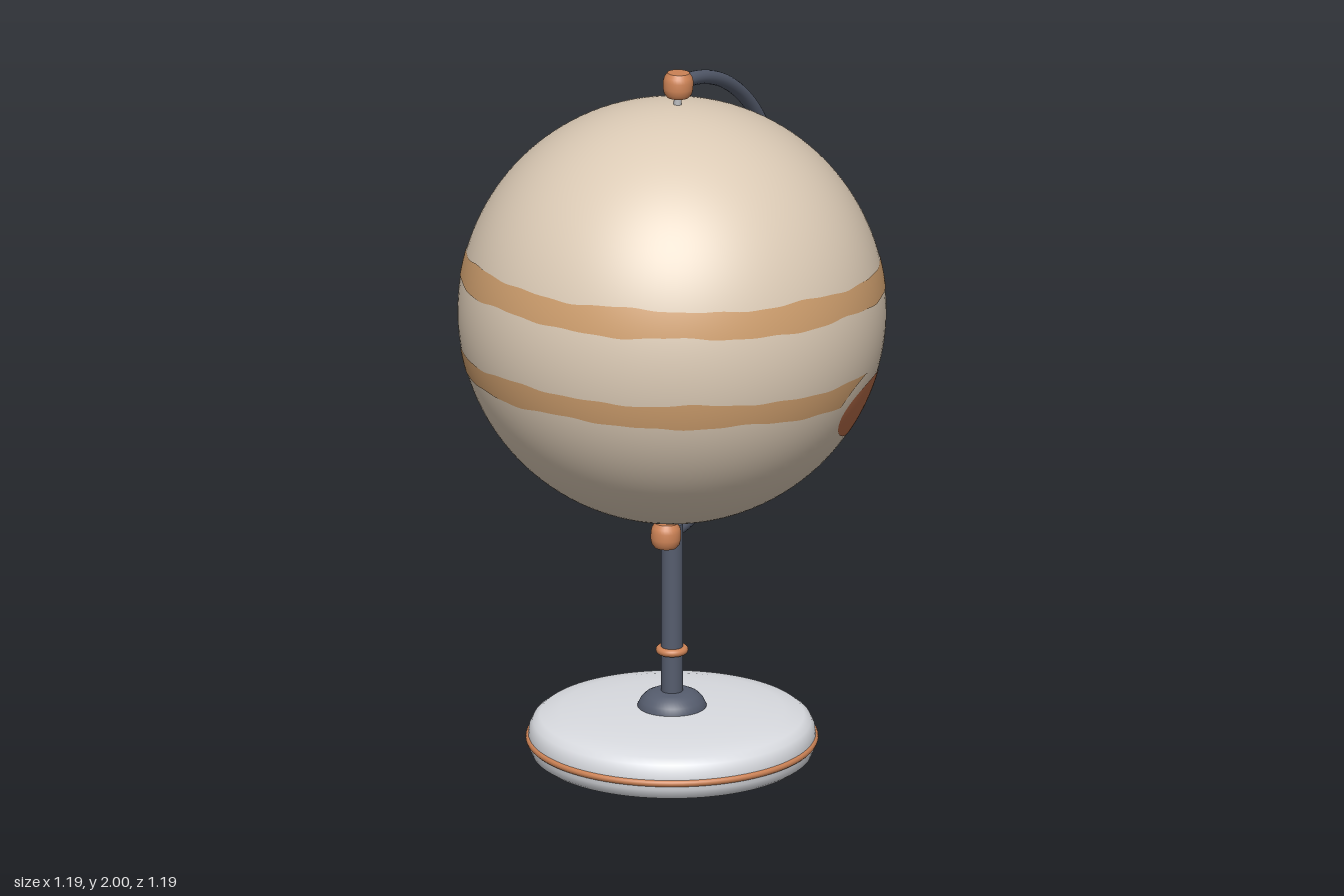
import * as THREE from 'three';

const RAD = Math.PI / 180;
const R = 0.593; // globe radius
const CENTRE = 1.315; // globe centre height

const mat = (name, color, side = THREE.FrontSide) => {
  const m = new THREE.MeshStandardMaterial({ color, side });
  m.name = name;
  return m;
};

function add(parent, name, geometry, material, x = 0, y = 0, z = 0) {
  const mesh = new THREE.Mesh(geometry, material);
  mesh.name = name;
  mesh.position.set(x, y, z);
  parent.add(mesh);
  return mesh;
}

const lathe = (pts, segments = 64) =>
  new THREE.LatheGeometry(pts.map(([x, y]) => new THREE.Vector2(x, y)), segments);

const ring = (r, tube) => new THREE.TorusGeometry(r, tube, 12, 80).rotateX(Math.PI / 2);

// Painted patch on the globe; fn(u, v) gives [azimuth, latitude] in degrees
function spherePatch(fn, nu, nv, radius) {
  const pos = [], nor = [], idx = [];
  for (let i = 0; i <= nu; i++) {
    for (let j = 0; j <= nv; j++) {
      const [az, lat] = fn(i / nu, j / nv);
      const a = az * RAD, l = lat * RAD;
      const n = [Math.cos(l) * Math.cos(a), Math.sin(l), Math.cos(l) * Math.sin(a)];
      nor.push(...n);
      pos.push(...n.map((c) => c * radius));
      if (i < nu && j < nv) {
        const k = i * (nv + 1) + j, m = k + nv + 1;
        idx.push(k, k + 1, m + 1, k, m + 1, m);
      }
    }
  }
  const g = new THREE.BufferGeometry();
  g.setAttribute('position', new THREE.Float32BufferAttribute(pos, 3));
  g.setAttribute('normal', new THREE.Float32BufferAttribute(nor, 3));
  g.setIndex(idx);
  return g;
}

export function createModel() {
  const model = new THREE.Group();
  model.name = 'planetGlobe';
  const cream = mat('cream', 0xdccbb6);
  const tan = mat('tan', 0xcf9f6e);
  const rust = mat('rust', 0xb56b47);
  const copper = mat('copper', 0xcd8356);
  const slate = mat('slate', 0x555c6d);
  const white = mat('white', 0xd9dbe0);
  const silver = mat('silver', 0xb9bbbe);

  // Base with copper belt and small feet
  const base = new THREE.Group();
  base.name = 'base';
  model.add(base);
  add(base, 'baseBody', lathe([
    [0, 0.015], [0.375, 0.015], [0.375, 0.015], [0.388, 0.025], [0.396, 0.045], [0.398, 0.07],
    [0.395, 0.095], [0.385, 0.115], [0.365, 0.13], [0.31, 0.142], [0.23, 0.15], [0.12, 0.156], [0, 0.158],
  ], 80), white);
  add(base, 'baseBelt', ring(0.395, 0.01), copper, 0, 0.066, 0);
  for (let i = 0; i < 8; i++) {
    const a = (i + 0.5) * Math.PI / 4;
    add(base, 'foot', new THREE.CylinderGeometry(0.015, 0.013, 0.02, 16), silver,
      0.31 * Math.cos(a), 0.01, 0.31 * Math.sin(a));
  }

  // Post with domed flange and ring
  add(model, 'flange', lathe([
    [0.096, 0.148], [0.095, 0.16], [0.088, 0.175], [0.074, 0.19], [0.055, 0.199], [0.028, 0.201],
  ], 48), slate);
  add(model, 'post', new THREE.CylinderGeometry(0.03, 0.03, 0.53, 32), slate, 0, 0.425, 0);
  add(model, 'postRing', ring(0.034, 0.011), copper, 0, 0.32, 0);

  // Tilted mount: local y is the globe's axis, the arm lies in local xy
  const mount = new THREE.Group();
  mount.name = 'tiltedMount';
  mount.position.y = CENTRE;
  mount.rotation.set(0, 35.3 * RAD, -3.2 * RAD, 'YZX');
  model.add(mount);

  add(mount, 'arm', new THREE.TorusGeometry(0.652, 0.02, 16, 96, Math.PI).rotateZ(-Math.PI / 2), slate);
  add(mount, 'axisPin', new THREE.CylinderGeometry(0.011, 0.011, 1.28, 16), silver);
  const knob = lathe([
    [0, -0.036], [0.03, -0.036], [0.03, -0.036], [0.039, -0.025], [0.042, -0.01],
    [0.042, 0.01], [0.039, 0.022], [0.031, 0.034], [0.031, 0.034], [0, 0.034],
  ], 32);
  add(mount, 'topKnob', knob, copper, 0, 0.65, 0);
  add(mount, 'bottomKnob', knob, copper, 0, -0.649, 0);

  // Globe
  add(mount, 'globe', new THREE.SphereGeometry(R, 112, 72), cream);

  // Wavy bands; the lower one is cut away around the spot
  const spot = { az: 75, lat: -21.9, w: 18.4, h: 9, haloW: 22.1, haloH: 13.3 };
  const wave = (az, s) =>
    0.35 * Math.sin(7 * az * RAD + s) + 0.25 * Math.sin(13 * az * RAD + 2.1 * s) + 0.12 * Math.sin(29 * az * RAD + s);
  const lat = (h) => Math.asin(h / R) / RAD;
  function band(low, high, seed, cut) {
    return spherePatch((u, v) => {
      const az = u * 360 - 180;
      const top = lat(high) + wave(az, seed);
      let bottom = lat(low) + wave(az, seed + 1.7);
      const d = (az - spot.az) / spot.haloW;
      if (cut && Math.abs(d) < 1) {
        const halo = spot.lat + spot.haloH * Math.sqrt(1 - d * d);
        bottom = Math.min(top, Math.max(bottom, halo));
      }
      return [az, bottom + (top - bottom) * v];
    }, 240, 4, R + 0.0015);
  }
  add(mount, 'upperBand', band(0.087, 0.163, 0.6, false), tan);
  add(mount, 'lowerBand', band(-0.174, -0.106, 2.9, true), tan);

  // Oval storm spot
  add(mount, 'spot', spherePatch((u, v) => {
    const t = -u * 2 * Math.PI;
    return [spot.az + spot.w * v * Math.cos(t), spot.lat + spot.h * v * Math.sin(t)];
  }, 48, 8, R + 0.0015), rust);

  return model;
}
